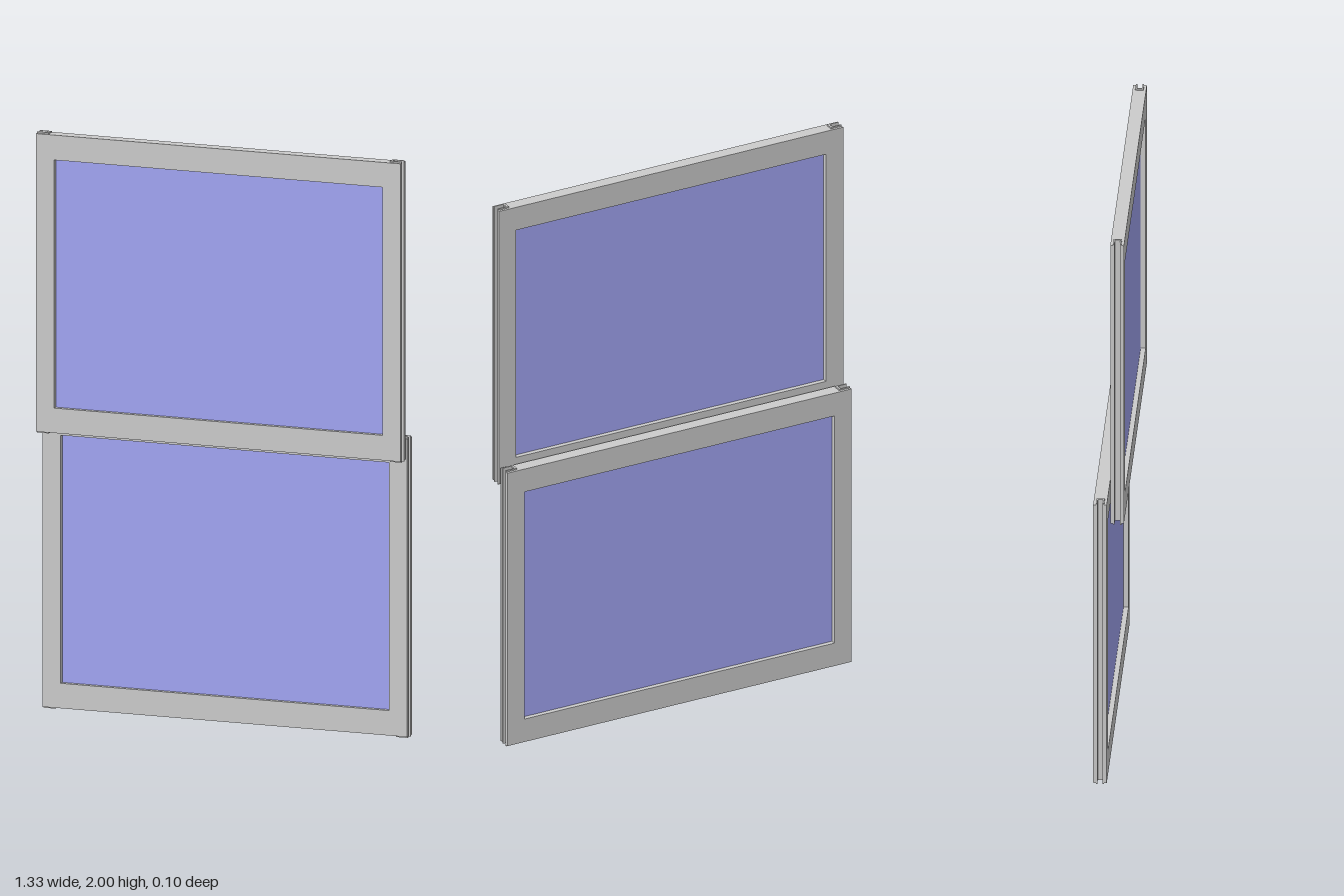
import * as THREE from 'three';

const grey = new THREE.MeshStandardMaterial({ color: 0xcccccc });
const blue = new THREE.MeshStandardMaterial({ color: 0xa2a5f4 });

const HALF_W = 0.663;   // outer half width
const OPEN_W = 0.597;   // half width of the glazed opening
const DEPTH = 0.046;    // sash thickness
const RAIL = 0.086;     // rail height
const HEIGHT = 1.027;   // sash height without the liner ends

function addMesh(parent, name, geometry, material, x = 0, y = 0, z = 0) {
  const mesh = new THREE.Mesh(geometry, material);
  mesh.name = name;
  mesh.position.set(x, y, z);
  parent.add(mesh);
  return mesh;
}

// U-shaped section open towards +x, extruded upwards from y = 0
function channel(xIn, xOut, halfDepth, slotX, slotHalf, height) {
  const shape = new THREE.Shape([
    [xIn, -halfDepth], [xOut, -halfDepth], [xOut, -slotHalf], [slotX, -slotHalf],
    [slotX, slotHalf], [xOut, slotHalf], [xOut, halfDepth], [xIn, halfDepth],
  ].map(([x, y]) => new THREE.Vector2(x, y)));
  return new THREE.ExtrudeGeometry(shape, { depth: height, bevelEnabled: false }).rotateX(-Math.PI / 2);
}

function createSash(name) {
  const sash = new THREE.Group();
  sash.name = name;

  // Grooved stiles with a channel liner that stands slightly proud at both ends
  for (const side of ['left', 'right']) {
    const stile = new THREE.Group();
    stile.name = side + 'Stile';
    addMesh(stile, 'stileBody', channel(OPEN_W, HALF_W, DEPTH / 2, 0.62, 0.014, HEIGHT), grey);
    addMesh(stile, 'channelLiner', channel(0.62, HALF_W - 0.001, 0.014, 0.628, 0.009, HEIGHT + 0.01), grey, 0, -0.005);
    if (side === 'right') stile.rotation.y = Math.PI;
    sash.add(stile);
  }

  // Rails between the stiles
  const rail = new THREE.BoxGeometry(OPEN_W * 2, RAIL, DEPTH);
  addMesh(sash, 'bottomRail', rail, grey, 0, RAIL / 2);
  addMesh(sash, 'topRail', rail, grey, 0, HEIGHT - RAIL / 2);

  // Recessed pane
  const pane = new THREE.BoxGeometry(OPEN_W * 2, HEIGHT - RAIL * 2, 0.012);
  addMesh(sash, 'glassPane', pane, blue, 0, HEIGHT / 2);
  return sash;
}

export function createModel() {
  const model = new THREE.Group();
  model.name = 'slidingSashWindow';

  // Lower sash sits behind, upper sash in front, overlapping at the meeting rails
  const lower = createSash('lowerSash');
  lower.position.set(0, 0.008, -0.029);
  const upper = createSash('upperSash');
  upper.position.set(0, 0.968, 0.029);
  model.add(lower, upper);
  return model;
}
